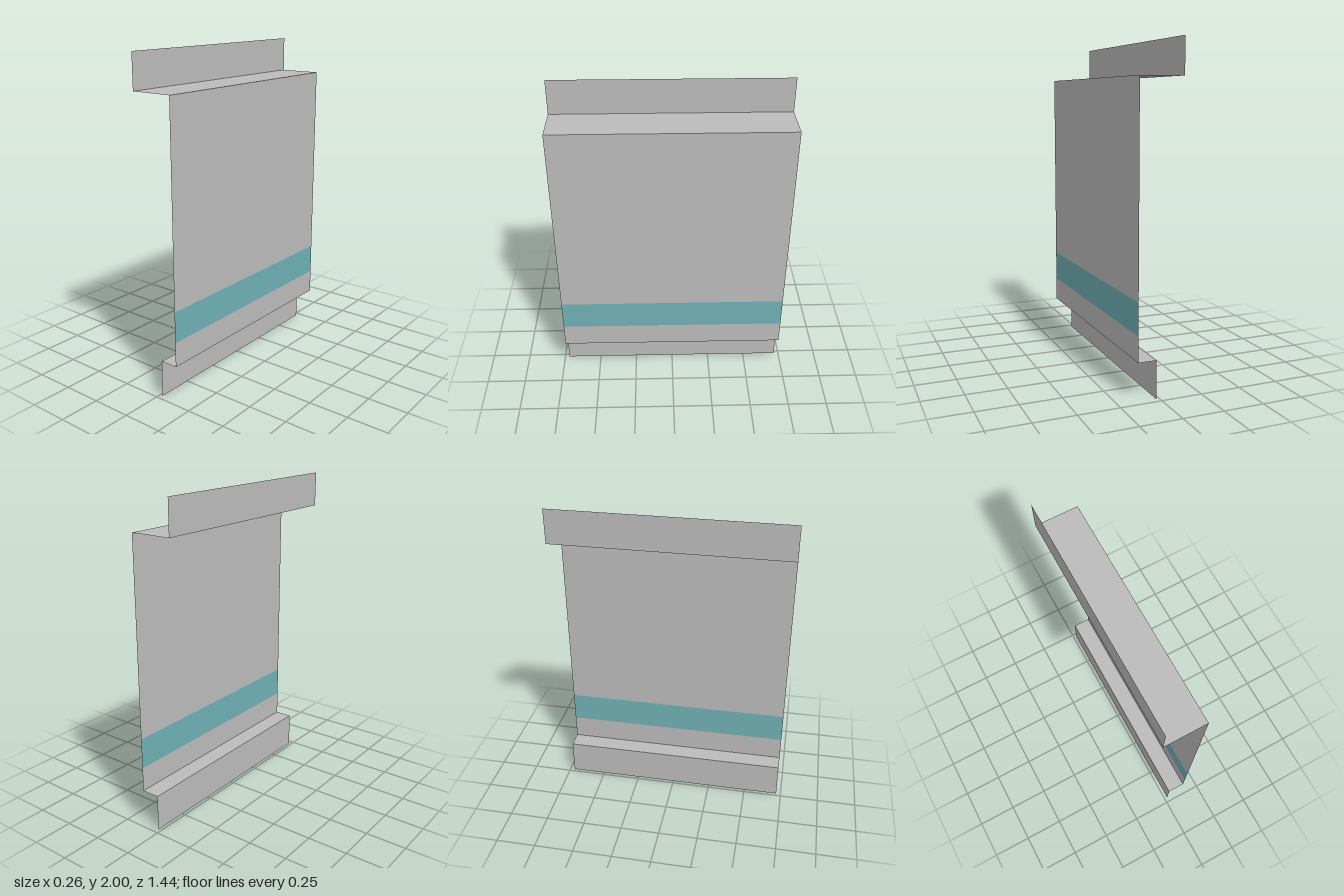
import * as THREE from 'three';

const DEPTH = 1.44;

export function createModel() {
  const group = new THREE.Group();
  const sheet = new THREE.MeshStandardMaterial({ color: 0xbcbcbc, side: THREE.DoubleSide });
  sheet.name = 'grey sheet';
  const teal = new THREE.MeshStandardMaterial({ color: 0x70b1b5, side: THREE.DoubleSide });
  teal.name = 'teal stripe';

  // One flat strip running the full depth between two profile points [x, y]
  function strip(name, [x0, y0], [x1, y1], material) {
    const width = Math.hypot(x1 - x0, y1 - y0);
    const geometry = new THREE.PlaneGeometry(width, DEPTH);
    geometry.rotateX(Math.PI / 2); // faces down, so an upward profile faces +x
    geometry.rotateZ(Math.atan2(y1 - y0, x1 - x0));
    geometry.translate((x0 + x1) / 2, (y0 + y1) / 2, 0);
    const mesh = new THREE.Mesh(geometry, material);
    mesh.name = name;
    group.add(mesh);
  }

  // Folded profile from the bottom lip up to the top lip
  const profile = [
    [0.02, 0], [0.02, 0.226], [0.132, 0.226], [0.132, 0.377],
    [0.132, 0.567], [0.132, 1.788], [-0.132, 1.788], [-0.132, 2],
  ];
  const names = ['bottomLip', 'bottomLedge', 'lowerPanel', 'panelStripe', 'upperPanel', 'topLedge', 'topLip'];
  names.forEach((name, i) =>
    strip(name, profile[i], profile[i + 1], name === 'panelStripe' ? teal : sheet));

  return group;
}
